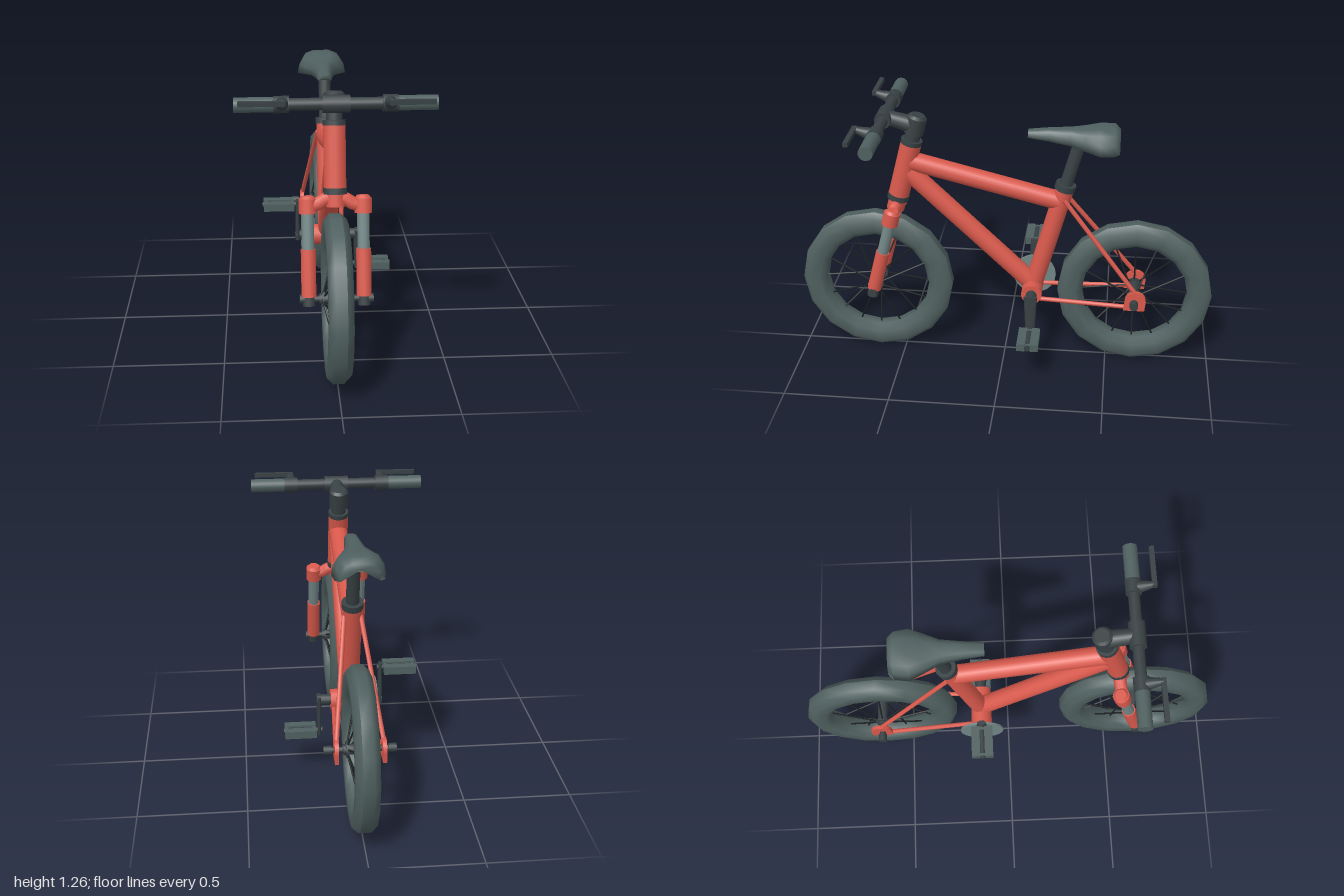
import * as THREE from 'three';

const paint = (c) => new THREE.MeshStandardMaterial({ color: c });
const V = (x, y, z) => new THREE.Vector3(x, y, z);

export function createModel() {
  const bike = new THREE.Group();
  bike.name = 'bicycle';
  const red = paint(0xd9594c), rubber = paint(0x506060), dark = paint(0x384144);
  const steel = paint(0x728686), black = paint(0x1d2224);

  const add = (parent, name, geo, mat) => {
    const m = new THREE.Mesh(geo, mat);
    m.name = name;
    parent.add(m);
    return m;
  };
  // Round bar from a to b, optionally tapered
  const rod = (parent, name, a, b, r, mat, rEnd = r, sides = 14) => {
    const dir = b.clone().sub(a);
    const m = add(parent, name, new THREE.CylinderGeometry(rEnd, r, dir.length(), sides), mat);
    m.position.copy(a).add(b).multiplyScalar(0.5);
    m.quaternion.setFromUnitVectors(V(0, 1, 0), dir.normalize());
    return m;
  };
  const box = (parent, name, w, h, d, x, y, z, mat) => {
    const m = add(parent, name, new THREE.BoxGeometry(w, h, d), mat);
    m.position.set(x, y, z);
    return m;
  };

  // Wheels: lathed tyre, hub with flanges, alternating spokes
  const tyreProfile = [[0.37, -0.024], [0.37, 0.024], [0.342, 0.052], [0.285, 0.052],
    [0.254, 0.026], [0.254, -0.026], [0.285, -0.052], [0.342, -0.052], [0.37, -0.024]]
    .map(([r, x]) => new THREE.Vector2(r, x));
  const wheel = (name, z) => {
    const g = new THREE.Group();
    g.name = name;
    g.position.set(0, 0.375, z);
    bike.add(g);
    add(g, 'tyre', new THREE.LatheGeometry(tyreProfile, 16), rubber).rotation.z = Math.PI / 2;
    rod(g, 'hub', V(-0.075, 0, 0), V(0.075, 0, 0), 0.024, dark);
    rod(g, 'axle', V(-0.15, 0, 0), V(0.15, 0, 0), 0.014, dark);
    for (const s of [-1, 1]) {
      rod(g, 'hubFlange', V(s * 0.05, 0, 0), V(s * 0.062, 0, 0), 0.036, dark);
      rod(g, 'axleNut', V(s * 0.125, 0, 0), V(s * 0.16, 0, 0), 0.02, dark);
    }
    for (let i = 0; i < 16; i++) {
      const a = i * Math.PI / 8, c = Math.cos(a), s = Math.sin(a);
      rod(g, 'spoke', V(i % 2 ? 0.055 : -0.055, 0.025 * c, 0.025 * s),
        V(0, 0.27 * c, 0.27 * s), 0.0042, black, 0.0042, 5);
    }
  };
  wheel('frontWheel', 0.626);
  wheel('rearWheel', -0.626);

  // Steering assembly, built along the tilted steering axis from the front axle
  const steer = new THREE.Group();
  steer.name = 'steering';
  steer.position.set(0, 0.375, 0.626);
  steer.rotation.x = -Math.atan(0.26);
  bike.add(steer);
  const up = (name, x, y0, y1, r, mat, rEnd) => rod(steer, name, V(x, y0, 0), V(x, y1, 0), r, mat, rEnd);
  for (const s of [-1, 1]) {
    up('forkTip', s * 0.12, -0.03, 0.03, 0.027, dark);
    up('forkLowerLeg', s * 0.12, 0.01, 0.218, 0.033, red);
    up('forkUpperLeg', s * 0.12, 0.2, 0.39, 0.027, steel);
    up('forkCrownEnd', s * 0.12, 0.372, 0.436, 0.039, red);
    up('forkCap', s * 0.12, 0.436, 0.449, 0.036, red, 0.026);
  }
  const crownPath = new THREE.CatmullRomCurve3([V(-0.12, 0.408, 0), V(-0.08, 0.412, 0),
    V(-0.04, 0.434, 0), V(0.04, 0.434, 0), V(0.08, 0.412, 0), V(0.12, 0.408, 0)]);
  add(steer, 'forkCrown', new THREE.TubeGeometry(crownPath, 16, 0.03, 10), red);
  up('steererBase', 0, 0.4, 0.46, 0.042, red);
  up('lowerHeadsetRing', 0, 0.455, 0.482, 0.052, dark);
  up('headTube', 0, 0.48, 0.752, 0.049, red);
  up('upperHeadsetRing', 0, 0.75, 0.772, 0.05, dark);
  up('stemSpacer', 0, 0.77, 0.82, 0.036, dark);
  up('stemPost', 0, 0.805, 0.885, 0.046, dark);
  up('stemCap', 0, 0.885, 0.897, 0.046, dark, 0.034);

  // Handlebar, grips and brake levers
  const by = 1.228, bz = 0.555;
  rod(bike, 'stemArm', V(0, 1.19, 0.41), V(0, by, bz), 0.042, dark, 0.034);
  rod(bike, 'barClamp', V(-0.058, by, bz), V(0.058, by, bz), 0.038, dark);
  rod(bike, 'handlebar', V(-0.3, by, bz), V(0.3, by, bz), 0.026, dark);
  for (const s of [-1, 1]) {
    rod(bike, 'grip', V(s * 0.25, by, bz), V(s * 0.425, by, bz), 0.033, rubber, 0.033, 12);
    rod(bike, 'brakeClamp', V(s * 0.195, by, bz), V(s * 0.26, by, bz), 0.036, dark);
    rod(bike, 'leverHousing', V(s * 0.225, 1.235, 0.575), V(s * 0.225, 1.255, 0.645), 0.03, dark, 0.014);
    box(bike, 'brakeLever', 0.195, 0.02, 0.022, s * 0.308, 1.256, 0.645, dark);
  }

  // Main frame tubes
  const bb = V(0, 0.372, -0.135);
  rod(bike, 'topTube', V(0, 1.015, 0.45), V(0, 0.84, -0.255), 0.045, red);
  rod(bike, 'downTube', V(0, 0.965, 0.46), V(0, 0.395, -0.13), 0.045, red);
  rod(bike, 'seatTube', bb, V(0, 0.905, -0.279), 0.044, red);
  rod(bike, 'seatCollar', V(0, 0.9, -0.277), V(0, 0.93, -0.285), 0.049, dark);
  rod(bike, 'seatPost', V(0, 0.9, -0.277), V(0, 1.15, -0.345), 0.03, dark);
  rod(bike, 'bottomBracket', V(-0.09, bb.y, bb.z), V(0.09, bb.y, bb.z), 0.05, red);

  // Rear stays and dropouts
  const dropout = new THREE.Shape();
  dropout.moveTo(-0.055, -0.05);
  dropout.lineTo(0.045, -0.05);
  dropout.absarc(0, 0, 0.05, 0, Math.PI, false);
  for (const s of [-1, 1]) {
    rod(bike, 'chainStay', V(s * 0.075, 0.348, -0.14), V(s * 0.105, 0.342, -0.64), 0.011, red, 0.011, 8);
    rod(bike, 'seatStay', V(s * 0.038, 0.86, -0.28), V(s * 0.105, 0.405, -0.64), 0.011, red, 0.011, 8);
    const plate = add(bike, 'dropout',
      new THREE.ExtrudeGeometry(dropout, { depth: 0.018, bevelEnabled: false, curveSegments: 8 }), red);
    plate.rotation.y = Math.PI / 2;
    plate.position.set(s * 0.105 - 0.009, 0.378, -0.632);
  }

  // Drivetrain: chainring, opposed cranks and two-bar pedals
  rod(bike, 'chainring', V(-0.126, bb.y, bb.z), V(-0.116, bb.y, bb.z), 0.105, steel, 0.105, 20);
  rod(bike, 'crankAxle', V(-0.155, bb.y, bb.z), V(0.155, bb.y, bb.z), 0.026, dark);
  for (const s of [-1, 1]) {
    const py = bb.y - s * 0.16;
    const arm = rod(bike, 'crankArm', V(s * 0.145, bb.y + s * 0.02, bb.z), V(s * 0.145, py - s * 0.02, bb.z), 0.032, dark, 0.022, 10);
    arm.scale.x = 0.4;
    rod(bike, 'pedalSpindle', V(s * 0.13, py, bb.z), V(s * 0.315, py, bb.z), 0.014, dark);
    for (const e of [-1, 1])
      box(bike, 'pedalBar', 0.15, 0.037, 0.04, s * 0.235, py, bb.z + e * 0.031, rubber);
    for (const x of [0.17, 0.3]) box(bike, 'pedalEnd', 0.012, 0.028, 0.07, s * x, py, bb.z, rubber);
  }

  // Saddle: loft of [z, half width, rim height, top height, hollow height]
  const sections = [[-0.105, 0.032, 1.16, 1.187, 1.162], [-0.2, 0.04, 1.15, 1.198, 1.165],
    [-0.3, 0.056, 1.138, 1.203, 1.165], [-0.37, 0.09, 1.128, 1.208, 1.165],
    [-0.435, 0.118, 1.118, 1.217, 1.17], [-0.5, 0.108, 1.116, 1.219, 1.17],
    [-0.525, 0.085, 1.118, 1.195, 1.16]];
  const N = 10, pos = [], idx = [];
  for (const [z, w, yb, yt, yu] of sections) {
    const h = yt - yb;
    const half = [[1, yb], [0.93, yb + 0.45 * h], [0.72, yb + 0.85 * h], [0.35, yt]];
    const ring = [...half, ...half.map(([x, y]) => [-x, y]).reverse(), [-0.7, yu], [0.7, yu]];
    for (const [x, y] of ring) pos.push(x * w - 0.01, y, z);
  }
  for (let i = 0; i < sections.length - 1; i++)
    for (let j = 0; j < N; j++) {
      const a = i * N + j, b = i * N + (j + 1) % N;
      idx.push(a, a + N, b, a + N, b + N, b);
    }
  [0, sections.length - 1].forEach((row, end) => {
    const [z, , yb, yt] = sections[row], c = pos.length / 3;
    pos.push(-0.01, (yb + 2 * yt) / 3, z);
    for (let j = 0; j < N; j++) {
      const a = row * N + j, b = row * N + (j + 1) % N;
      idx.push(c, end ? b : a, end ? a : b);
    }
  });
  const saddle = new THREE.BufferGeometry();
  saddle.setAttribute('position', new THREE.Float32BufferAttribute(pos, 3));
  saddle.setIndex(idx);
  saddle.computeVertexNormals();
  add(bike, 'saddle', saddle, rubber);
  box(bike, 'saddleClamp', 0.06, 0.04, 0.09, 0, 1.15, -0.35, dark);

  return bike;
}
